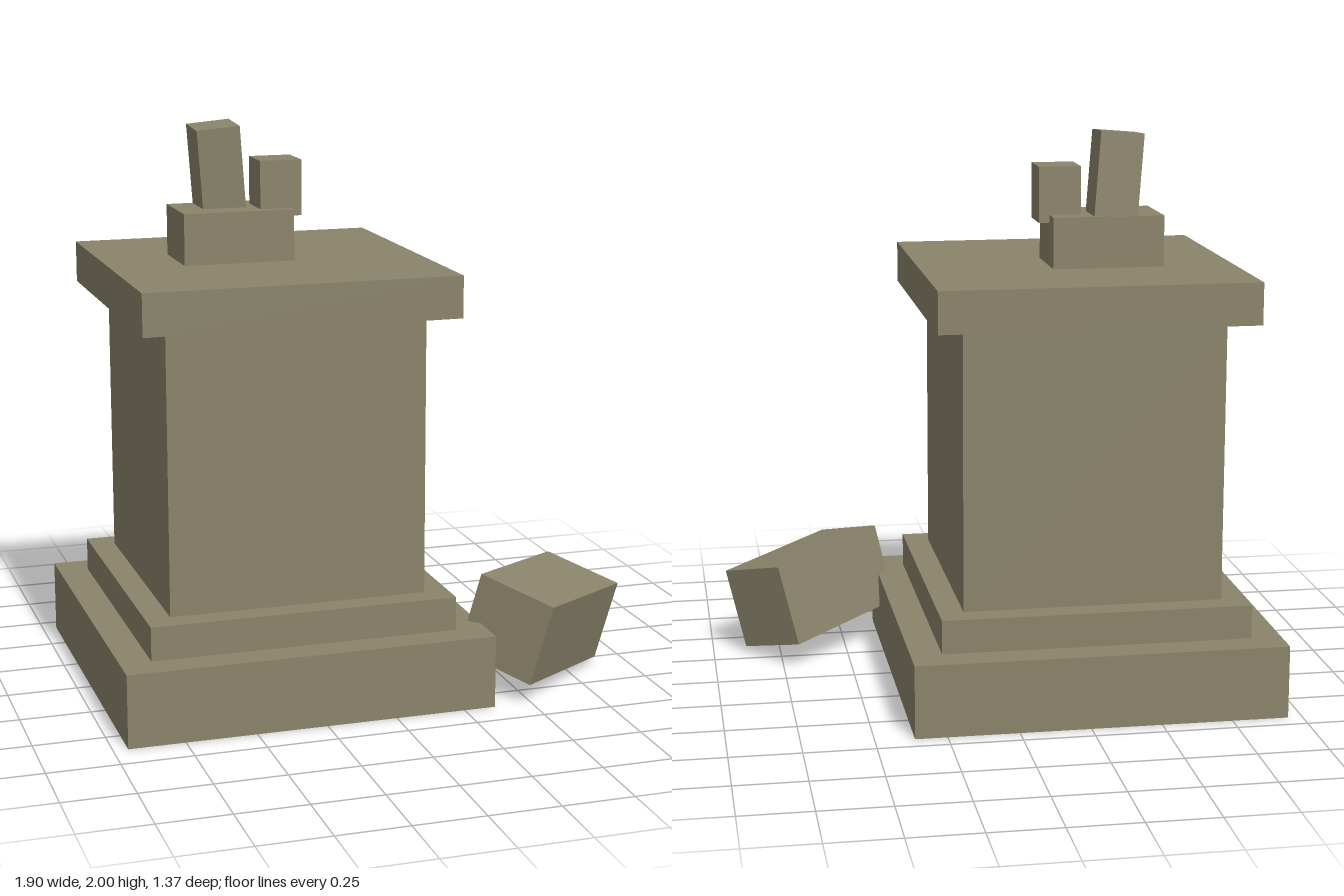
import * as THREE from 'three';

export function createModel() {
  const model = new THREE.Group();
  const stone = new THREE.MeshStandardMaterial({ color: 0x8b846b });
  stone.name = 'weathered stone';

  function block(name, size, position) {
    const mesh = new THREE.Mesh(new THREE.BoxGeometry(...size), stone);
    mesh.name = name;
    mesh.position.set(...position);
    model.add(mesh);
    return mesh;
  }

  // Square pedestal, stacked from the ground up: name, width, bottom, top
  const cx = -0.293, cz = -0.028;
  const tiers = [
    ['base', 1.312, 0, 0.26],
    ['step', 1.094, 0.26, 0.38],
    ['shaft', 0.918, 0.38, 1.376],
    ['cap', 1.114, 1.376, 1.524],
  ];
  for (const [name, width, y0, y1] of tiers) {
    block(name, [width, y1 - y0, width], [cx, (y0 + y1) / 2, cz]);
  }

  // Remains of a broken statue: small plinth and two stumps
  block('statuePlinth', [0.396, 0.182, 0.262], [-0.395, 1.614, -0.07]);
  const tall = block('tallStump', [0.155, 0.32, 0.155], [-0.433, 1.833, -0.107]);
  tall.rotation.set(0.06, 0, 0.085);
  block('shortStump', [0.15, 0.197, 0.148], [-0.234, 1.776, -0.05]);

  // Fallen block leaning against the base corner
  const fallen = block('fallenBlock', [0.52, 0.3, 0.3], [0.624, 0.231, 0.389]);
  const along = new THREE.Vector3(0.395, -0.05, -0.335).normalize();
  const side = new THREE.Vector3().crossVectors(along, new THREE.Vector3(0.068, 0.288, 0.037)).normalize();
  const up = new THREE.Vector3().crossVectors(side, along);
  fallen.quaternion.setFromRotationMatrix(new THREE.Matrix4().makeBasis(along, up, side));

  return model;
}
